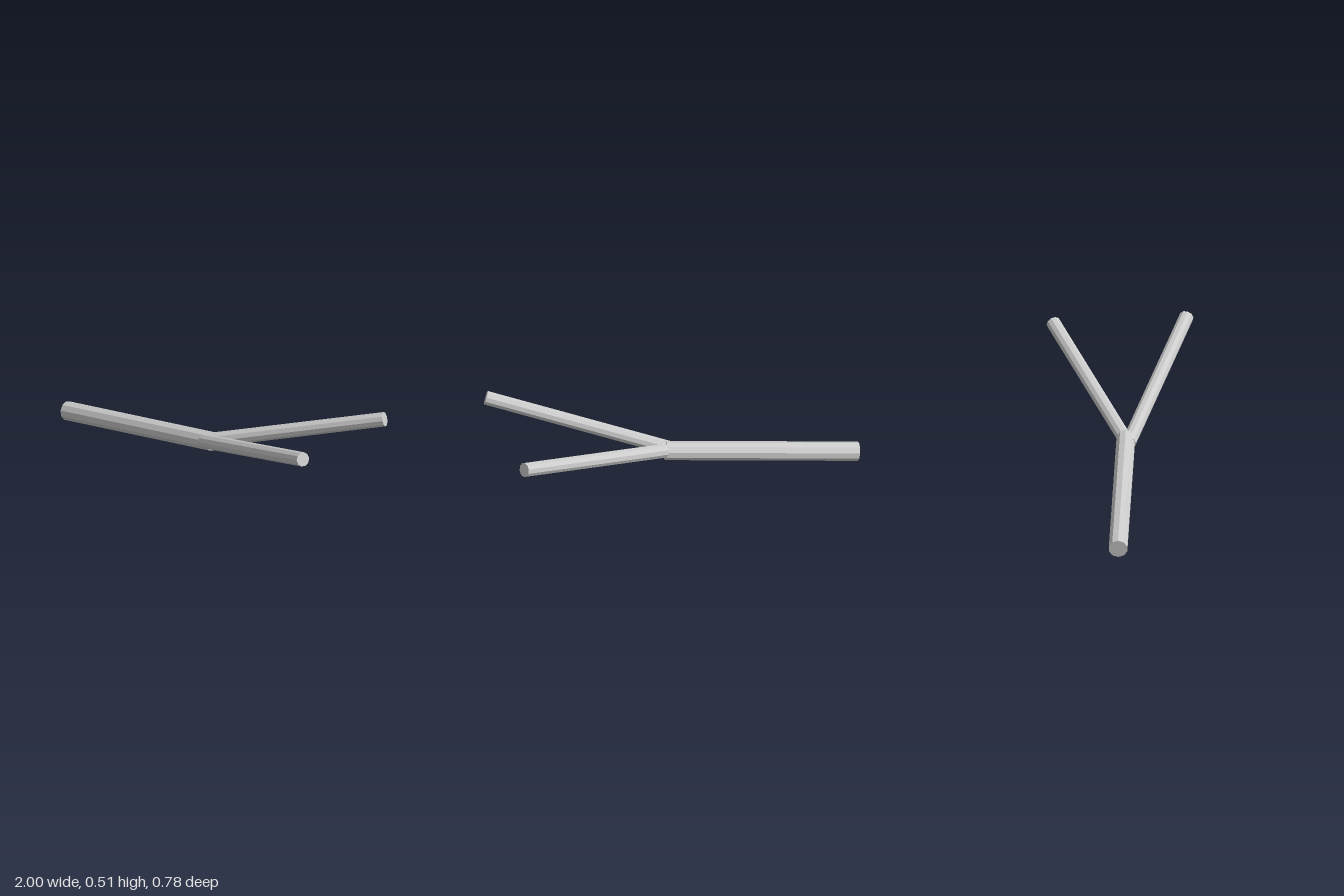
import * as THREE from 'three';

const UP = new THREE.Vector3(0, 1, 0);

// Ten-sided straight limb between two points
function limb(name, from, to, radius) {
  const a = new THREE.Vector3(...from), b = new THREE.Vector3(...to);
  const dir = b.clone().sub(a);
  const geometry = new THREE.CylinderGeometry(radius, radius, dir.length(), 10, 1, false, Math.PI / 2);
  const material = new THREE.MeshStandardMaterial({ color: 0xcccccc, flatShading: true });
  const mesh = new THREE.Mesh(geometry, material);
  mesh.name = name;
  mesh.position.copy(a).add(b).multiplyScalar(0.5);
  mesh.quaternion.setFromUnitVectors(UP, dir.normalize());
  return mesh;
}

export function createModel() {
  const group = new THREE.Group();
  group.name = 'forkedStick';
  group.add(
    // Thick stem, rising gently towards the fork
    limb('stem', [-0.993, 0.052, 0.073], [0.062, 0.198, 0.07], 0.052),
    // Two thinner branches spreading from the fork
    limb('frontBranch', [0.02, 0.193, 0.088], [0.984, 0.477, 0.356], 0.039),
    limb('backBranch', [0.045, 0.2, 0.066], [0.925, 0.454, -0.356], 0.039),
  );
  return group;
}
